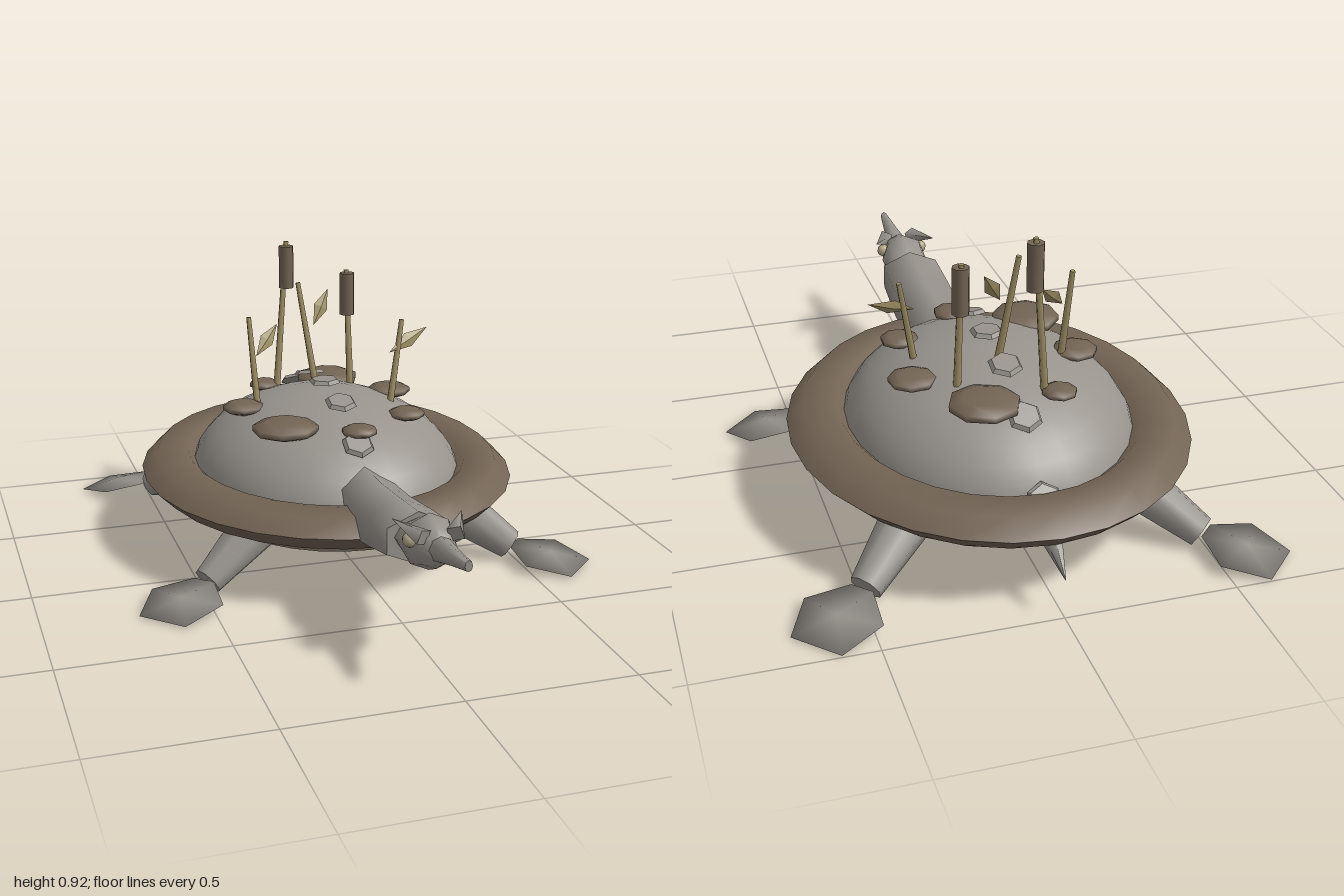
import * as THREE from 'three';
import { toCreasedNormals } from 'three/addons/utils/BufferGeometryUtils.js';

const V = (x, y, z) => new THREE.Vector3(x, y, z);
const UP = V(0, 1, 0);
const CZ = -0.283; // shell centre along z

export function createModel() {
  const model = new THREE.Group();
  model.name = 'swampTurtle';

  const mat = (name, color) => {
    const m = new THREE.MeshStandardMaterial({ color });
    m.name = name;
    return m;
  };
  const grey = mat('stone grey', 0x98938d);
  const mud = mat('mud brown', 0x736454);
  const bellyTan = mat('belly tan', 0x9d9177);
  const reed = mat('reed olive', 0x9e8f64);
  const eyeTan = mat('eye tan', 0xb3a686);

  const add = (name, geo, material) => {
    const mesh = new THREE.Mesh(geo, material);
    mesh.name = name;
    model.add(mesh);
    return mesh;
  };
  const flat = (geo) => toCreasedNormals(geo, 0.01);
  const reshape = (geo, rule) => {
    const p = geo.attributes.position;
    for (let i = 0; i < p.count; i++) p.setXYZ(i, ...rule(p.getX(i), p.getY(i), p.getZ(i)));
    geo.computeVertexNormals();
    return geo;
  };
  // Tapered rod from a to b
  const rod = (name, a, b, ra, rb, sides, material) => {
    const geo = new THREE.CylinderGeometry(rb, ra, a.distanceTo(b), sides);
    const mesh = add(name, geo, material);
    mesh.position.copy(a).lerp(b, 0.5);
    mesh.quaternion.setFromUnitVectors(UP, b.clone().sub(a).normalize());
  };
  // Elliptical sections along z, front to back: [z, centreY, rx, ry]
  const loft = (name, sections, sides, material) => {
    const n = sections.length - 1;
    const geo = new THREE.CylinderGeometry(1, 1, 1, sides, n).rotateX(Math.PI / 2);
    reshape(geo, (x, y, z) => {
      const [sz, cy, rx, ry] = sections[Math.round((0.5 - z) * n)];
      return [x * rx, cy + y * ry, sz];
    });
    add(name, toCreasedNormals(geo, 1.2), material);
  };
  const domeY = (x, z) =>
    0.2 + 0.28 * Math.sqrt(Math.max(0, 1 - (x / 0.437) ** 2 - ((z - CZ) / 0.525) ** 2));

  // Domed shell
  const dome = new THREE.SphereGeometry(1, 28, 10, 0, Math.PI * 2, 0, Math.PI / 2);
  dome.scale(0.432, 0.28, 0.52).translate(0, 0.2, CZ);
  add('shellDome', dome, grey);

  // Elliptical rim with a six-sided section
  const rim = reshape(new THREE.TorusGeometry(1, 0.1, 6, 28), (x, y, z) => {
    const a = Math.atan2(y, x), d = Math.hypot(x, y) - 1;
    return [Math.cos(a) * (0.492 + d), 0.233 + z * 0.57, CZ - Math.sin(a) * (0.587 + d)];
  });
  add('shellRim', toCreasedNormals(rim, 1.2), mud);

  // Underside plate and grey collar around it
  const bellyProfile = [[0, 0.104], [0.78, 0.106], [0.87, 0.115], [0.94, 0.143], [0.97, 0.19], [0.97, 0.22]];
  const belly = new THREE.LatheGeometry(bellyProfile.map(([r, y]) => new THREE.Vector2(r, y)), 32);
  add('belly', belly.scale(0.467, 1, 0.56).translate(0, 0, CZ), bellyTan);
  const collar = new THREE.CylinderGeometry(1, 0.98, 0.02, 28).scale(0.48, 1, 0.57);
  add('bellyCollar', collar.translate(0, 0.193, CZ), grey);

  // Row of hexagonal scutes along the back
  [0.415, 0.497, 0.517, 0.497, 0.425, 0.265].forEach((y, i) => {
    const z = 0.08 - i * 0.18;
    const scute = add('scute', flat(new THREE.CylinderGeometry(0.042, 0.052, 0.012, 6)), grey);
    scute.position.set(0, y, z);
    scute.rotation.x = ((z - CZ) / 0.525) * 0.8;
  });

  // Flattened clumps on the shell: x, z, radius
  const clumps = [
    [0.095, -0.57, 0.108], [-0.13, -0.555, 0.053], [-0.26, -0.32, 0.07], [0.25, -0.37, 0.073],
    [-0.19, -0.065, 0.108], [0.22, -0.105, 0.06], [0.02, 0.03, 0.058],
  ];
  clumps.forEach(([x, z, r], i) => {
    const geo = new THREE.SphereGeometry(r, 8, 5).scale(1, 0.008 / r + 0.2, 1);
    const clump = add('clump', geo, mud);
    clump.position.set(x, domeY(x, z) + 0.014, z);
    clump.rotation.y = i * 0.7;
  });

  // Reed stems
  const stems = [
    [V(-0.095, 0.42, -0.53), V(-0.045, 0.92, -0.57)],
    [V(0.14, 0.42, -0.45), V(0.137, 0.83, -0.485)],
    [V(0.005, 0.44, -0.385), V(-0.045, 0.81, -0.43)],
    [V(-0.208, 0.4, -0.335), V(-0.225, 0.72, -0.375)],
    [V(0.205, 0.4, -0.235), V(0.262, 0.7, -0.28)],
  ];
  stems.forEach(([a, b]) => rod('reedStem', a, b, 0.012, 0.008, 6, reed));

  // Seed heads
  [[-0.047, 0.835, -0.565], [0.138, 0.75, -0.48]].forEach(([x, y, z]) => {
    add('seedHead', new THREE.CylinderGeometry(0.025, 0.025, 0.14, 8), mud).position.set(x, y, z);
  });

  // Pointed leaves
  const leaves = [
    [V(0.0, 0.67, -0.405), V(0.065, 0.775, -0.46)],
    [V(-0.212, 0.6, -0.335), V(-0.125, 0.685, -0.4)],
    [V(0.21, 0.6, -0.25), V(0.36, 0.66, -0.31)],
  ];
  leaves.forEach(([a, b]) => {
    const geo = new THREE.OctahedronGeometry(1).scale(0.024, a.distanceTo(b) / 2, 0.008);
    const leaf = add('leaf', geo, reed);
    leaf.position.copy(a).lerp(b, 0.5);
    leaf.quaternion.setFromUnitVectors(UP, b.clone().sub(a).normalize());
  });

  // Neck, head and beak
  loft('neck', [
    [0.625, 0.315, 0.106, 0.078], [0.47, 0.288, 0.11, 0.09],
    [0.3, 0.26, 0.105, 0.104], [0.05, 0.26, 0.088, 0.1],
  ], 6, grey);
  loft('head', [
    [0.815, 0.346, 0.03, 0.034], [0.77, 0.342, 0.056, 0.06], [0.71, 0.338, 0.076, 0.083],
    [0.65, 0.33, 0.074, 0.058], [0.6, 0.32, 0.066, 0.045],
  ], 8, grey);
  loft('beak', [
    [1, 0.382, 0.011, 0.016], [0.89, 0.364, 0.024, 0.026], [0.77, 0.344, 0.04, 0.042],
  ], 8, grey);

  // Tail
  rod('tail', V(0, 0.21, -0.82), V(0, 0.122, -0.998), 0.045, 0.001, 6, grey);

  // Paddle foot: six-sided outline with raised middle
  const outline = [[0.105, -0.08], [0.105, 0.08], [-0.03, 0.125], [-0.125, 0.035], [-0.125, -0.035], [-0.03, -0.125]];
  const paddle = () => {
    const pts = [];
    outline.forEach(([x, z], i) => {
      const [x2, z2] = outline[(i + 1) % 6];
      pts.push(0, 0.017, 0, x2, 0, z2, x, 0, z, 0, -0.017, 0, x, 0, z, x2, 0, z2);
    });
    const geo = new THREE.BufferGeometry();
    geo.setAttribute('position', new THREE.Float32BufferAttribute(pts, 3));
    return toCreasedNormals(geo, Math.PI);
  };

  for (const s of [1, -1]) {
    // Eyes and swept brow spikes
    add('eye', new THREE.SphereGeometry(0.021, 10, 8), eyeTan).position.set(s * 0.066, 0.362, 0.738);
    rod('browSpike', V(s * 0.045, 0.385, 0.79), V(s * 0.1, 0.408, 0.69), 0.028, 0.001, 4, grey);

    // Legs and feet
    const legs = [
      ['front', V(0.3, 0.185, 0.04), V(0.49, 0.045, 0.13), V(0.588, 0.028, 0.22), -Math.PI / 4],
      ['back', V(0.3, 0.185, -0.61), V(0.49, 0.045, -0.775), V(0.588, 0.028, -0.87), Math.PI / 4],
    ];
    legs.forEach(([end, top, ankle, foot, turn]) => {
      top.x *= s; ankle.x *= s; foot.x *= s;
      rod(end + 'Leg', top, ankle, 0.082, 0.048, 8, grey);
      const f = add(end + 'Foot', paddle(), grey);
      f.position.copy(foot);
      f.rotation.set(0, s > 0 ? turn : Math.PI - turn, -0.19, 'YXZ');
    });
  }
  return model;
}
